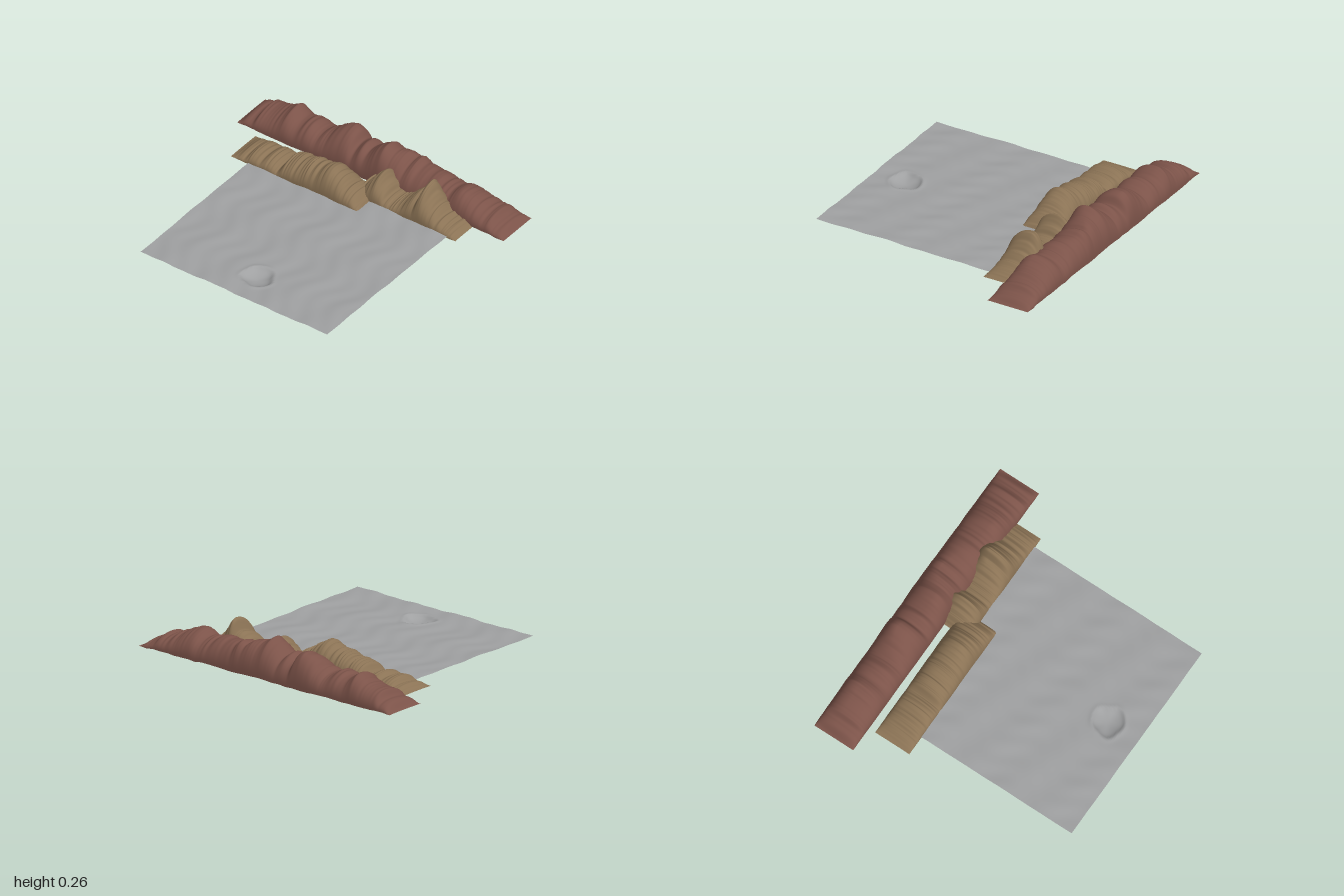
import * as THREE from 'three';

const mat = (name, color) => {
  const m = new THREE.MeshStandardMaterial({ color, side: THREE.DoubleSide });
  m.name = name;
  return m;
};

// smooth one-dimensional value noise in -1..1
const hash = (i) => { const s = Math.sin(i * 127.1 + 3.7) * 43758.5453; return (s - Math.floor(s)) * 2 - 1; };
function noise(x) {
  const i = Math.floor(x), f = x - i;
  return THREE.MathUtils.lerp(hash(i), hash(i + 1), f * f * (3 - 2 * f));
}

// value at x along a list of [x, value] points
function sample(points, x) {
  let i = 0;
  while (i < points.length - 2 && points[i + 1][0] < x) i++;
  const [x0, a] = points[i], [x1, b] = points[i + 1];
  const f = THREE.MathUtils.clamp((x - x0) / (x1 - x0), 0, 1);
  return a + (b - a) * (0.5 * f + 0.5 * f * f * (3 - 2 * f));
}

// grid facing up, each vertex moved by a rule
function sheet(name, material, [x0, x1, z0, z1], nx, nz, rule) {
  const g = new THREE.PlaneGeometry(1, 1, nx, nz).rotateX(-Math.PI / 2);
  const p = g.attributes.position;
  for (let i = 0; i < p.count; i++) {
    const u = p.getX(i) + 0.5, v = p.getZ(i) + 0.5;
    const [x, y, z] = rule(x0 + (x1 - x0) * u, z0 + (z1 - z0) * v, v);
    p.setXYZ(i, x, y, z);
  }
  g.computeVertexNormals();
  const mesh = new THREE.Mesh(g, material);
  mesh.name = name;
  return mesh;
}

// open arched shell whose crest follows a height profile and a crest line
function ridge(name, material, [x0, x1, z0, z1], base, heights, crest, rough, seed) {
  return sheet(name, material, [x0, x1, z0, z1], 260, 28, (x, z, v) => {
    const end = Math.min(1, (x - x0) / 0.06, (x1 - x) / 0.06);
    const apex = (sample(crest, x) - z0) / (z1 - z0);
    // even steps around the arch, meeting at the crest
    const a = v * Math.PI;
    const w = 0.5 - 0.5 * Math.cos(a);
    const t = w < 0.5 ? w * 2 * apex : apex + (w - 0.5) * 2 * (1 - apex);
    const gully = rough * end * (noise(x * 45 + seed + v * 1.2) + 0.7 * noise(x * 95 + seed * 2 + v * 1.5));
    const h = Math.max(0, sample(heights, x) - base + gully);
    const foot = 0.004 * noise(x * 18 + seed) * end;
    return [x, base + foot + h * Math.pow(Math.sin(a), 0.9), z0 + (z1 - z0) * t];
  });
}

export function createModel() {
  const model = new THREE.Group();
  const grey = mat('grey dust', 0x9fa0a1);
  const tan = mat('tan rock', 0x8b7355);
  const red = mat('red rock', 0x7c5349);

  // gently rolling plain with one crater
  model.add(sheet('plain', grey, [-0.7, 0.7, -0.51, 0.84], 120, 120, (x, z) => {
    const roll = 0.0025 * Math.sin(x * 17 + z * 5) + 0.002 * Math.sin(z * 23 - x * 9) + 0.0015 * Math.sin(x * 41 + 2 * Math.sin(z * 13));
    const dx = x - 0.02, dz = z - 0.62, ang = Math.atan2(dz, dx);
    const r = Math.hypot(dx, dz) / (0.1 + 0.006 * Math.sin(ang * 3) + 0.004 * Math.sin(ang * 5 + 1));
    const bowl = r < 1 ? 0.035 * Math.pow(1 - r * r, 0.8) : 0;
    const rim = 0.004 * Math.exp(-Math.pow((r - 1.05) / 0.15, 2));
    return [x, Math.max(0, 0.035 + roll * Math.min(1, r) - bowl + rim), z];
  }));

  // far red range
  model.add(ridge('farRange', red, [-1, 1, -0.84, -0.555], 0.027, [
    [-1, 0.03], [-0.95, 0.08], [-0.9, 0.09], [-0.87, 0.13], [-0.82, 0.14], [-0.75, 0.16], [-0.67, 0.2],
    [-0.6, 0.155], [-0.52, 0.175], [-0.45, 0.145], [-0.38, 0.165], [-0.32, 0.22], [-0.25, 0.245], [-0.2, 0.22],
    [-0.17, 0.175], [-0.12, 0.2], [-0.07, 0.18], [0, 0.225], [0.05, 0.253], [0.1, 0.225], [0.15, 0.22],
    [0.2, 0.195], [0.25, 0.21], [0.3, 0.18], [0.4, 0.18], [0.5, 0.16], [0.55, 0.16], [0.62, 0.19],
    [0.7, 0.17], [0.75, 0.14], [0.82, 0.11], [0.86, 0.12], [0.9, 0.075], [0.95, 0.07], [1, 0.027],
  ], [[-1, -0.72], [-0.7, -0.73], [-0.45, -0.68], [-0.25, -0.74], [-0.1, -0.68], [0.05, -0.67],
    [0.22, -0.75], [0.45, -0.69], [0.65, -0.66], [0.85, -0.7], [1, -0.7]], 0.005, 11));

  // near tan hills on the right
  model.add(ridge('rightHills', tan, [-0.83, 0.125, -0.51, -0.26], 0.027, [
    [-0.83, 0.03], [-0.75, 0.065], [-0.7, 0.1], [-0.63, 0.085], [-0.55, 0.09], [-0.5, 0.08], [-0.45, 0.125],
    [-0.4, 0.14], [-0.35, 0.14], [-0.3, 0.16], [-0.25, 0.16], [-0.2, 0.18], [-0.12, 0.195], [-0.05, 0.165],
    [0, 0.125], [0.05, 0.1], [0.1, 0.06], [0.125, 0.027],
  ], [[-0.83, -0.39], [-0.6, -0.38], [-0.4, -0.4], [-0.12, -0.37], [0.125, -0.37]], 0.008, 37));

  // near tan peaks on the left
  model.add(ridge('leftPeaks', tan, [-0.02, 0.765, -0.635, -0.382], 0.025, [
    [-0.02, 0.03], [0.03, 0.1], [0.08, 0.14], [0.14, 0.195], [0.18, 0.14], [0.22, 0.09], [0.25, 0.075],
    [0.3, 0.08], [0.33, 0.1], [0.38, 0.15], [0.42, 0.175], [0.47, 0.255], [0.52, 0.18], [0.56, 0.14],
    [0.6, 0.11], [0.65, 0.08], [0.7, 0.07], [0.765, 0.027],
  ], [[-0.02, -0.5], [0.14, -0.52], [0.28, -0.5], [0.47, -0.555], [0.62, -0.5], [0.765, -0.5]], 0.008, 71));

  return model;
}
